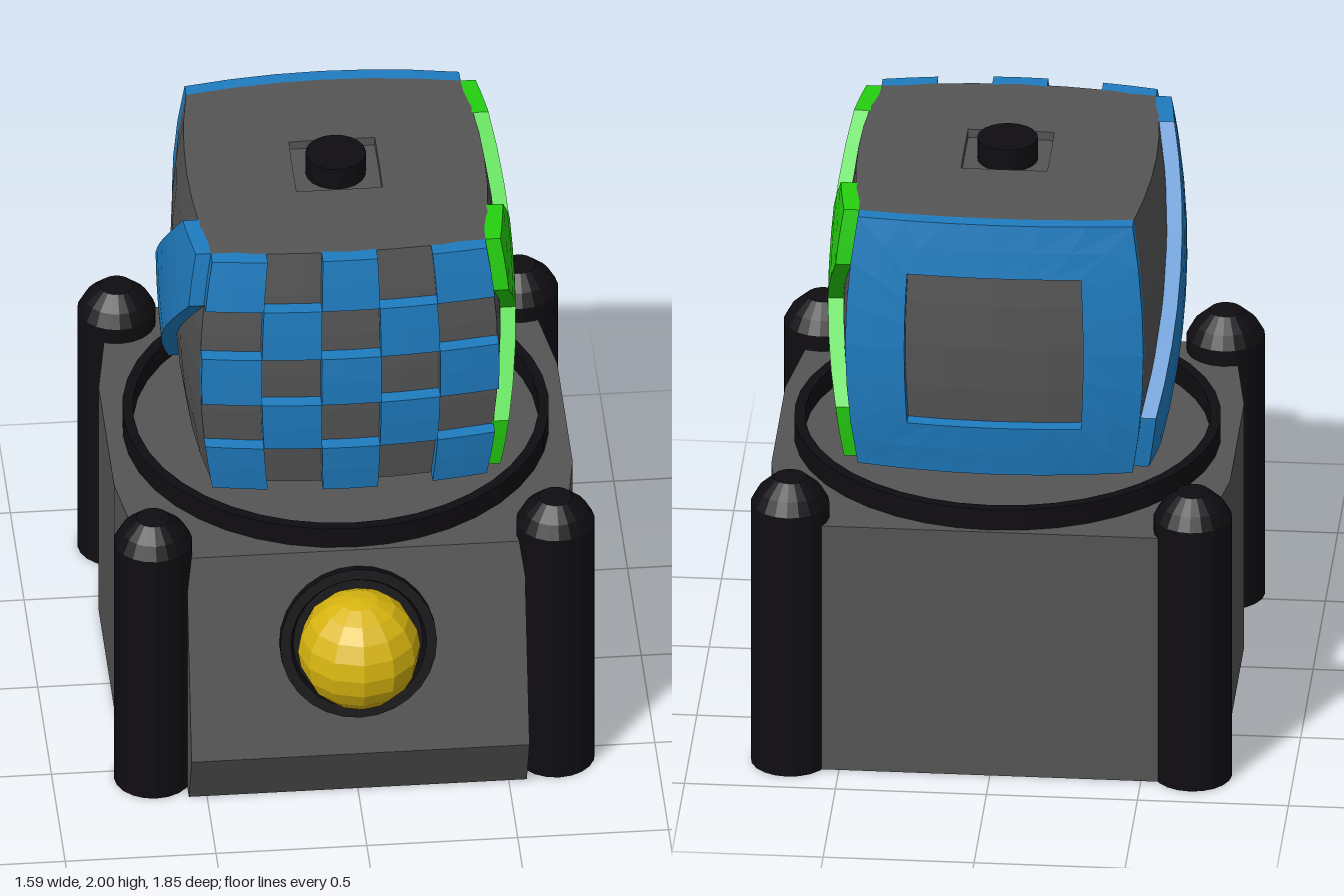
import * as THREE from 'three';

const mat = (color) => new THREE.MeshStandardMaterial({ color, flatShading: true });
const GREY = mat(0x555556), BLACK = mat(0x0f0d11), BLUE = mat(0x1f7cc0);
const GREEN = mat(0x25d010), YELLOW = mat(0xd8b510);

const AXIS_Z = -0.14, CUBE_Y = 1.485;

function add(parent, name, geometry, material, x = 0, y = 0, z = 0) {
  const mesh = new THREE.Mesh(geometry, material);
  mesh.name = name;
  mesh.position.set(x, y, z);
  parent.add(mesh);
  return mesh;
}

// Cube faces: (u right, v up) as seen from outside, each -1..1
const FACES = {
  front: (u, v) => [u, v, 1],
  back: (u, v) => [-u, v, -1],
  left: (u, v) => [1, v, -u],
  right: (u, v) => [-1, v, u],
  top: (u, v) => [u, 1, -v],
  bottom: (u, v) => [u, -1, v],
};

// Point on the bulged cube, lifted off its face by t
function bulge(face, u, v, t) {
  const [x, y, z] = FACES[face](u, v), n = FACES[face](0, 0);
  const swell = (a, k) => 1 + k * (1 - a * a);
  return [
    x * 0.455 * swell(y, 0.085) * swell(z, 0.085) + n[0] * t,
    y * 0.455 * swell(x, 0.012) * swell(z, 0.012) + n[1] * t,
    z * 0.455 * swell(x, 0.085) * swell(y, 0.085) + n[2] * t,
  ];
}

// Raised tiles that follow a bulged face; each tile is a counter-clockwise quad
function tiles(face, quads, t0, t1, nu = 6, nv = 6) {
  const pos = [];
  const quad = (a, b, c, d) => pos.push(...a, ...b, ...c, ...a, ...c, ...d);
  for (const [A, B, C, D] of quads) {
    const at = (i, j, t) => {
      const s = i / nu, r = j / nv;
      const mix = (k) => (A[k] * (1 - s) + B[k] * s) * (1 - r) + (D[k] * (1 - s) + C[k] * s) * r;
      return bulge(face, mix(0), mix(1), t);
    };
    for (let i = 0; i < nu; i++)
      for (let j = 0; j < nv; j++)
        quad(at(i, j, t1), at(i + 1, j, t1), at(i + 1, j + 1, t1), at(i, j + 1, t1));
    if (t0 === t1) continue;
    const wall = (i, j, k, l) => quad(at(i, j, t0), at(k, l, t0), at(k, l, t1), at(i, j, t1));
    for (let i = 0; i < nu; i++) {
      wall(i, 0, i + 1, 0);
      wall(i + 1, nv, i, nv);
    }
    for (let j = 0; j < nv; j++) {
      wall(nu, j, nu, j + 1);
      wall(0, j + 1, 0, j);
    }
  }
  const g = new THREE.BufferGeometry();
  g.setAttribute('position', new THREE.Float32BufferAttribute(pos, 3));
  g.computeVertexNormals();
  return g;
}

const turn = ([u, v], n) => (n ? turn([-v, u], n - 1) : [u, v]);
const spin = (quad, n) => quad.map((p) => turn(p, n));
const fourWays = (quad) => [0, 1, 2, 3].map((n) => spin(quad, n));
const square = (h) => [[-h, -h], [h, -h], [h, h], [-h, h]];
const border = (h) => fourWays([[-1, -1], [1, -1], [h, -h], [-h, -h]]);

function createCube() {
  const cube = new THREE.Group();
  cube.name = 'turningCube';
  cube.position.set(0, CUBE_Y, AXIS_Z);

  // Bulged body, with a square recess above and below
  for (const face of ['front', 'back', 'left', 'right'])
    add(cube, face + 'Side', tiles(face, [square(1)], 0, 0), GREY);
  for (const face of ['top', 'bottom']) {
    add(cube, face + 'Side', tiles(face, border(0.29), -0.05, 0), GREY);
    add(cube, face + 'Recess', tiles(face, [square(0.29)], -0.03, -0.03), GREY);
  }

  const low = -0.02, high = 0.05;

  // Front: 5 x 5 checkerboard
  const checks = [];
  for (let i = 0; i < 5; i++)
    for (let j = 0; j < 5; j++) {
      if ((i + j) % 2) continue;
      const u = -1 + i * 0.4, v = -1 + j * 0.4;
      checks.push([[u, v], [u + 0.4, v], [u + 0.4, v + 0.4], [u, v + 0.4]]);
    }
  add(cube, 'checkerTiles', tiles('front', checks, low, high, 2, 2), BLUE);

  // Left: diagonal cross
  const w = 0.42;
  const tip = [[1 - w / 2, 1 - w / 2], [1, 1 - w], [1, 1], [1 - w, 1]];
  const arm = [[0, w], [w, 0], [1, 1 - w], [1 - w, 1]];
  const hub = [[0, -w], [w, 0], [0, w], [-w, 0]];
  add(cube, 'cross', tiles('left', [hub, ...fourWays(arm), ...fourWays(tip)], low, high, 3, 3), GREEN);

  // Right: single diagonal band
  const band = [[-1, w - 1], [w - 1, -1], [1, 1 - w], [1 - w, 1]];
  add(cube, 'diagonalBand', tiles('right', [band, tip, spin(tip, 2)], low, high, 3, 8), BLUE);

  // Back: square frame
  add(cube, 'squareFrame', tiles('back', border(0.6), low, high, 6, 2), BLUE);
  return cube;
}

function createBase() {
  const base = new THREE.Group();
  base.name = 'base';

  // Box with slightly bowed sides
  const side = [[0.69, -0.58], [0.72, -0.4], [0.76, -0.14], [0.76, 0.42], [0.72, 0.67], [0.69, 0.86]];
  const mirrored = side.map(([x, y]) => [-x, y]).reverse();
  const plan = new THREE.Shape([...side, ...mirrored].map((p) => new THREE.Vector2(...p)));
  const box = new THREE.ExtrudeGeometry(plan, { depth: 0.9, bevelEnabled: false });
  add(base, 'housing', box.rotateX(-Math.PI / 2), GREY);

  // Sloped front panel; the profile is drawn in (-z, y) and swept along x
  const profile = new THREE.Shape([[-0.4, 0], [-0.4, 0.899], [-0.58, 0.899], [-0.77, 0.21], [-0.67, 0]]
    .map((p) => new THREE.Vector2(...p)));
  const panel = new THREE.ExtrudeGeometry(profile, { depth: 1.12, bevelEnabled: false });
  add(base, 'frontPanel', panel.rotateY(Math.PI / 2), GREY, -0.56);

  // Corner posts with domed tops
  const post = new THREE.LatheGeometry(
    [[0, 0], [0.13, 0], [0.13, 0.955], [0.105, 1.0], [0.055, 1.045], [0, 1.05]]
      .map((p) => new THREE.Vector2(...p)), 20);
  for (const x of [-0.667, 0.667])
    for (const z of [-0.793, 0.54]) add(base, 'cornerPost', post, BLACK, x, 0, z);

  // Raised ring under the cube
  const ring = new THREE.LatheGeometry(
    [[0.67, 0.88], [0.705, 0.88], [0.705, 0.975], [0.67, 0.975], [0.67, 0.88]]
      .map((p) => new THREE.Vector2(...p)), 40);
  add(base, 'ring', ring, BLACK, 0, 0, AXIS_Z);

  // Ball button in a tilted collar
  const collar = new THREE.LatheGeometry(
    [[0, -0.02], [0.26, -0.02], [0.26, 0.035], [0.225, 0.035], [0.215, 0.01], [0, 0.01]]
      .map((p) => new THREE.Vector2(...p)), 28);
  const tilt = Math.atan2(0.19, 0.69);
  add(base, 'buttonCollar', collar, BLACK, 0, 0.595, 0.665).rotation.x = Math.PI / 2 - tilt;
  add(base, 'ballButton', new THREE.SphereGeometry(0.203, 12, 10), YELLOW, 0, 0.6, 0.72);
  return base;
}

export function createModel() {
  const model = new THREE.Group();
  model.name = 'turningCubeOnBase';
  model.add(createBase(), createCube());
  // Axle through the cube
  add(model, 'axle', new THREE.CylinderGeometry(0.1, 0.1, 1.12, 20), BLACK, 0, 1.44, AXIS_Z);
  return model;
}
